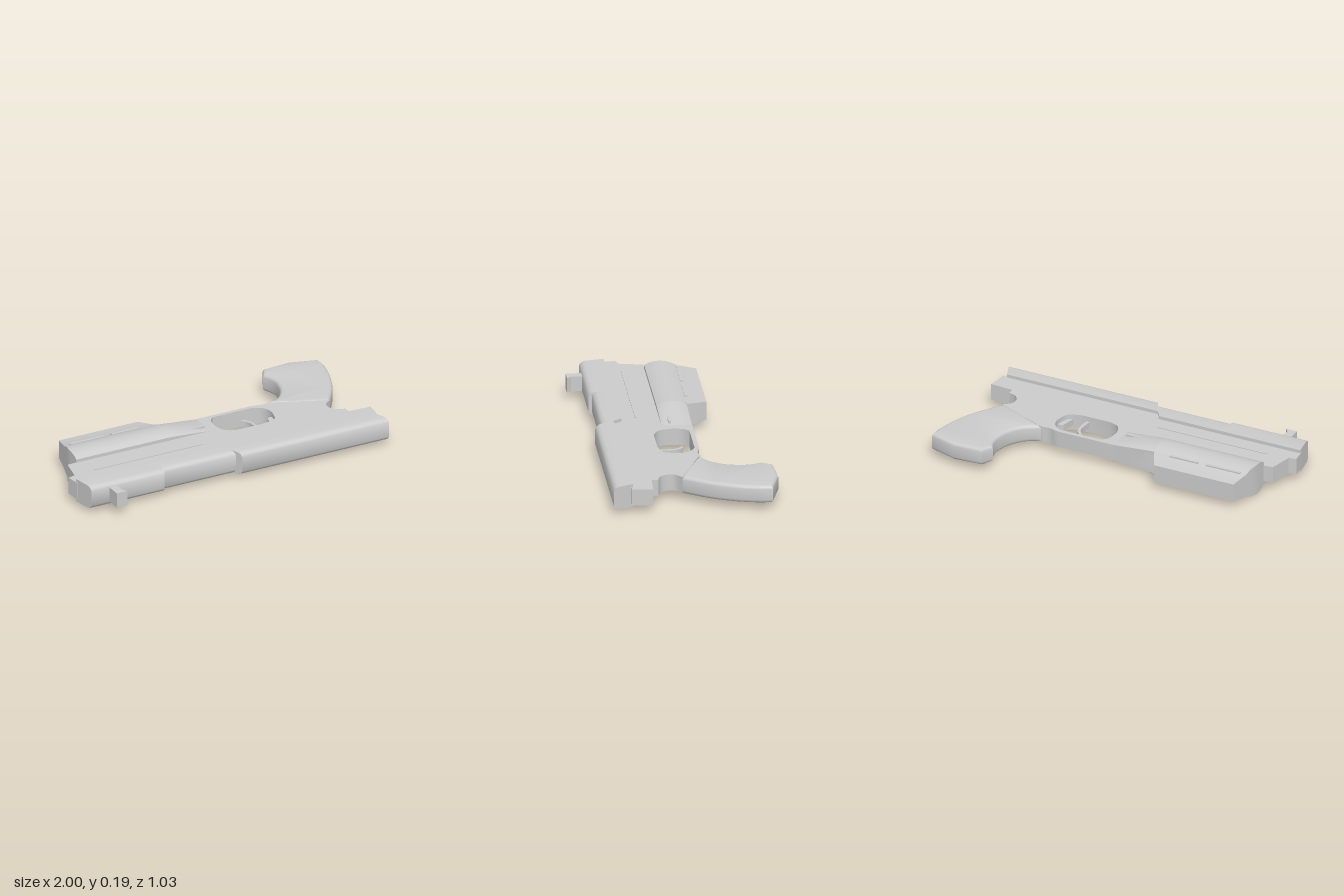
import * as THREE from 'three';
import { toCreasedNormals } from 'three/addons/utils/BufferGeometryUtils.js';

const MID = 0.095; // height of the symmetry plane of the model lying on its side

export function createModel() {
  const root = new THREE.Group();
  root.name = 'pistol';
  const mat = new THREE.MeshStandardMaterial({ color: 0xcccccc });

  const add = (name, geo, crease = 0.6) => {
    const mesh = new THREE.Mesh(toCreasedNormals(geo, crease), mat);
    mesh.name = name;
    root.add(mesh);
    return mesh;
  };
  const vecs = (pts) => pts.map(([x, z]) => new THREE.Vector2(x, -z));
  const spline = (pts, n = 16) =>
    new THREE.SplineCurve(pts.map(([x, z]) => new THREE.Vector2(x, z))).getPoints(n).map((p) => [p.x, p.y]);

  // Outline in x/z, extruded along y and centred on the symmetry plane
  const plate = (name, pts, thick, bevel = 0, hole = null) => {
    const shape = new THREE.Shape(vecs(pts));
    if (hole) shape.holes.push(new THREE.Path(vecs(hole)));
    const geo = new THREE.ExtrudeGeometry(shape, {
      depth: thick - 2 * bevel, bevelEnabled: bevel > 0, bevelThickness: bevel,
      bevelSize: bevel, bevelOffset: -bevel, bevelSegments: 3,
    });
    geo.rotateX(-Math.PI / 2);
    geo.translate(0, MID - thick / 2 + bevel, 0);
    return add(name, geo);
  };

  // Skin over stations of [x, z, halfThickness], mirrored about the symmetry plane
  const loft = (name, stations) => {
    const pos = [];
    const tri = (...p) => p.forEach((v) => pos.push(...v));
    const rings = stations.map((s) => [
      ...s.map(([x, z, h]) => [x, MID + h, z]),
      ...s.map(([x, z, h]) => [x, MID - h, z]).reverse(),
    ]);
    const n = rings[0].length;
    for (let s = 0; s < rings.length - 1; s++) {
      for (let i = 0; i < n; i++) {
        const j = (i + 1) % n, A = rings[s], B = rings[s + 1];
        tri(A[i], B[i], A[j], A[j], B[i], B[j]);
      }
    }
    const a = rings[0], b = rings[rings.length - 1];
    for (let i = 0; i < n / 2 - 1; i++) {
      const k = n - 1 - i;
      tri(a[i], a[i + 1], a[k], a[i + 1], a[k - 1], a[k]);
      tri(b[i], b[k], b[i + 1], b[i + 1], b[k], b[k - 1]);
    }
    const geo = new THREE.BufferGeometry();
    geo.setAttribute('position', new THREE.Float32BufferAttribute(pos, 3));
    return add(name, geo);
  };

  // Frame with trigger guard opening and rear notch
  const notch = spline([[0.80, 0.03], [0.758, 0.065], [0.75, 0.11], [0.775, 0.155], [0.825, 0.172]], 12);
  const hole = [
    ...spline([[0.1, -0.09], [0.07, -0.05], [0.062, 0.03], [0.09, 0.095], [0.15, 0.12]], 12),
    ...spline([[0.32, 0.12], [0.40, 0.1], [0.425, 0.05], [0.432, -0.01], [0.41, -0.06], [0.36, -0.09]], 14),
  ];
  plate('frame', [
    [-0.99, 0.3], [-1, 0.21], [-0.955, 0.2], [-0.925, 0.06], [-0.8, 0.05], [-0.3, -0.115], [0.36, -0.115],
    ...spline([[0.39, -0.112], [0.43, -0.1], [0.48, -0.105]], 6),
    ...notch, [0.825, 0.21], [0.965, 0.218], [0.95, 0.34], [-0.04, 0.34], [-0.09, 0.3],
  ], 0.1, 0, hole);

  // Upper slide in three steps, each with rounded top edges and slanted ends
  const slide = (name, x0, x1, low, top, slope0, slope1) => {
    const section = [[top, 0.045], [top - 0.008, 0.058], [top - 0.02, 0.067], [top - 0.035, 0.07], [low, 0.07]];
    const end = (x, k) => section.map(([z, h]) => [x + k * (z - low), z, h]);
    loft(name, [end(x0, slope0), end(x1, slope1)]);
  };
  slide('slideFront', -0.99, -0.49, 0.28, 0.425, 0.16, 0);
  slide('slideMiddle', -0.49, -0.08, 0.28, 0.405, 0, 0.6);
  slide('slideRear', -0.05, 0.92, 0.33, 0.443, 0.5, 0.38);

  // Bulging fore-end below the barrel
  const bulge = [[0.06, 0.07], [0.035, 0.084], [0.005, 0.092], [-0.03, 0.095], [-0.07, 0.091],
    [-0.1, 0.082], [-0.125, 0.071], [-0.235, 0.055]];
  loft('foreEnd', [
    bulge.map(([z, h]) => [-0.868 + Math.max(0, -0.03 - z) * 0.23, z, h]),
    bulge.map(([z, h]) => [-0.25 + Math.min(0, z + 0.115) * 0.5, z, h]),
  ]);
  // Fore-end tapering back into the frame
  const tail = bulge.slice(0, 7).map(([z, h]) => [Math.max(z, -0.115), h]);
  loft('foreEndTaper', [
    tail.map(([z, h]) => [-0.25, z, h]),
    tail.map(([z, h]) => [-0.2, z, 0.05 + (h - 0.05) * 0.85]),
    tail.map(([z]) => [0.01, z, 0.05]),
  ]);

  // Thin ribs on both flanks
  const rib = (name, x0, x1, z, thick) =>
    plate(name, [[x0, z - 0.008], [x0, z + 0.008], [x1, z + 0.008], [x1, z - 0.008]], thick);
  rib('foreEndRibFront', -0.81, -0.59, -0.125, 0.156);
  rib('foreEndRibRear', -0.54, -0.36, -0.125, 0.156);
  rib('taperRib', -0.22, -0.01, 0.01, 0.135);
  rib('frameRib', -0.82, -0.12, 0.19, 0.108);

  // Curved grip with rounded edges
  plate('grip', [
    ...spline([[0.48, -0.105], [0.56, -0.15], [0.618, -0.23], [0.643, -0.32], [0.64, -0.385], [0.62, -0.44]], 18),
    [0.655, -0.508], [0.83, -0.52], [0.997, -0.47],
    ...spline([[0.997, -0.4], [0.965, -0.27], [0.9, -0.12], [0.8, 0.03]], 14),
    [0.765, 0.03],
  ], 0.106, 0.02);

  // Front sight
  plate('frontSight', [[-0.85, 0.41], [-0.85, 0.515], [-0.78, 0.515], [-0.8, 0.49], [-0.8, 0.41]], 0.09);

  // Trigger and trigger stop
  plate('trigger', [
    ...spline([[0.25, -0.03], [0.28, 0], [0.29, 0.05], [0.28, 0.13]], 8),
    ...spline([[0.305, 0.13], [0.308, 0.05], [0.298, -0.005], [0.27, -0.037]], 8),
  ], 0.035);
  plate('triggerStop', [[0.38, 0.11], [0.4, 0.02], [0.415, 0.01], [0.44, 0.01], [0.44, 0.06], [0.41, 0.11]], 0.04);

  return root;
}
